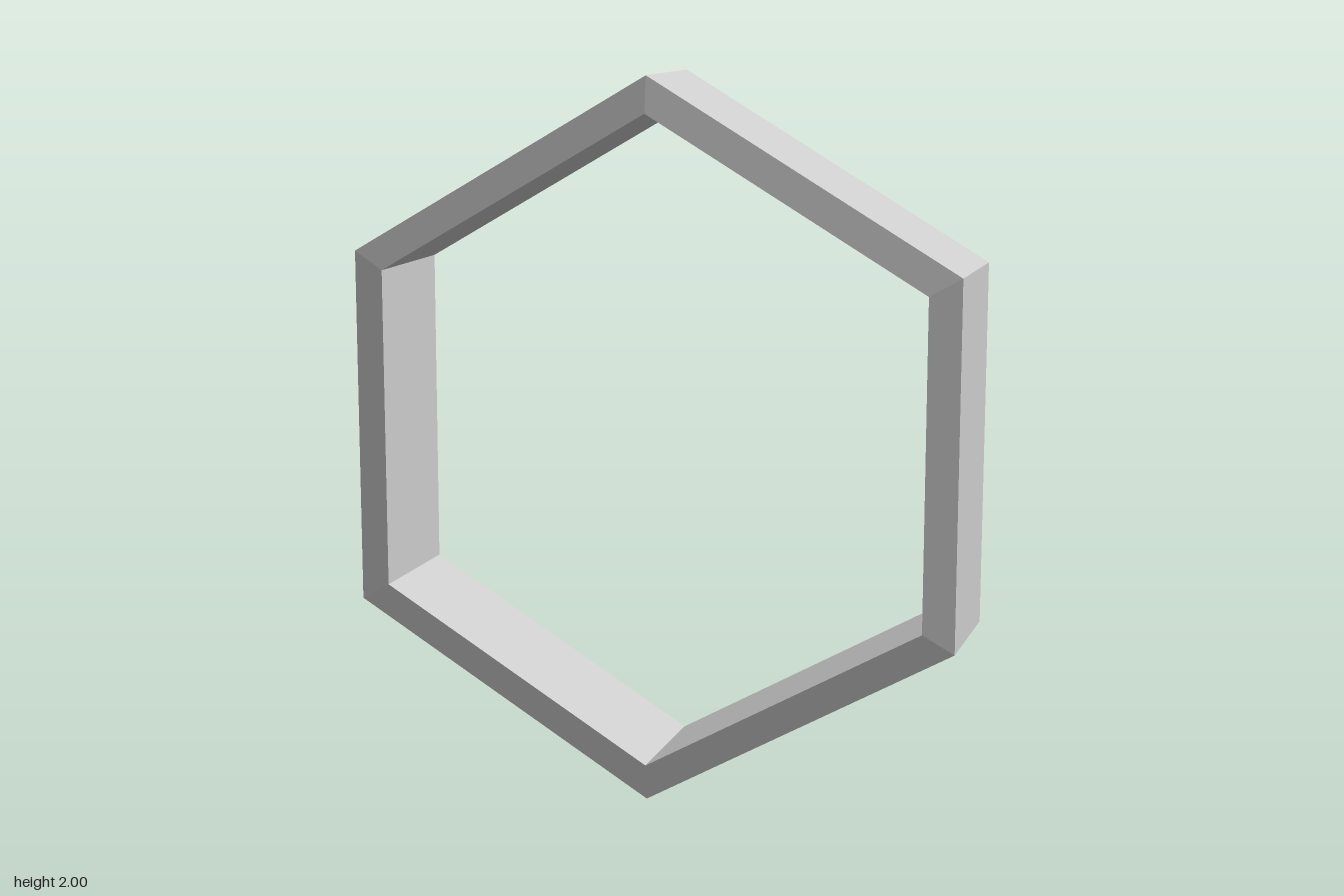
import * as THREE from 'three';

// Hexagonal ring swept from four hexagon loops
export function createModel() {
  const group = new THREE.Group();
  group.name = 'hexagonFrame';

  // Loops in order: front outer, front inner, back inner, back outer
  const loops = [
    { r: 1.0, y: 1.0, z: 0.156 },
    { r: 0.9, y: 1.0, z: 0.167 },
    { r: 0.893, y: 1.008, z: -0.163 },
    { r: 0.993, y: 1.007, z: -0.163 },
  ];
  const sides = 6;

  const corner = (i, j) => {
    const { r, y, z } = loops[j % loops.length];
    const a = Math.PI / 2 + (i / sides) * Math.PI * 2;
    const py = y + r * Math.sin(a);
    // the back leans very slightly towards the top
    const lean = z < 0 ? -0.004 * (py - 1) : 0;
    return [r * Math.cos(a), py, z + lean];
  };

  // Four flat walls per side: front, inside, back, outside
  const positions = [];
  for (let i = 0; i < sides; i++) {
    for (let j = 0; j < loops.length; j++) {
      const a = corner(i, j), b = corner(i + 1, j);
      const c = corner(i + 1, j + 1), d = corner(i, j + 1);
      positions.push(...a, ...b, ...c, ...a, ...c, ...d);
    }
  }

  const geometry = new THREE.BufferGeometry();
  geometry.setAttribute('position', new THREE.Float32BufferAttribute(positions, 3));
  geometry.computeVertexNormals();

  const frame = new THREE.Mesh(
    geometry,
    new THREE.MeshStandardMaterial({ color: 0xcccccc, flatShading: true })
  );
  frame.name = 'frame';
  group.add(frame);
  return group;
}
